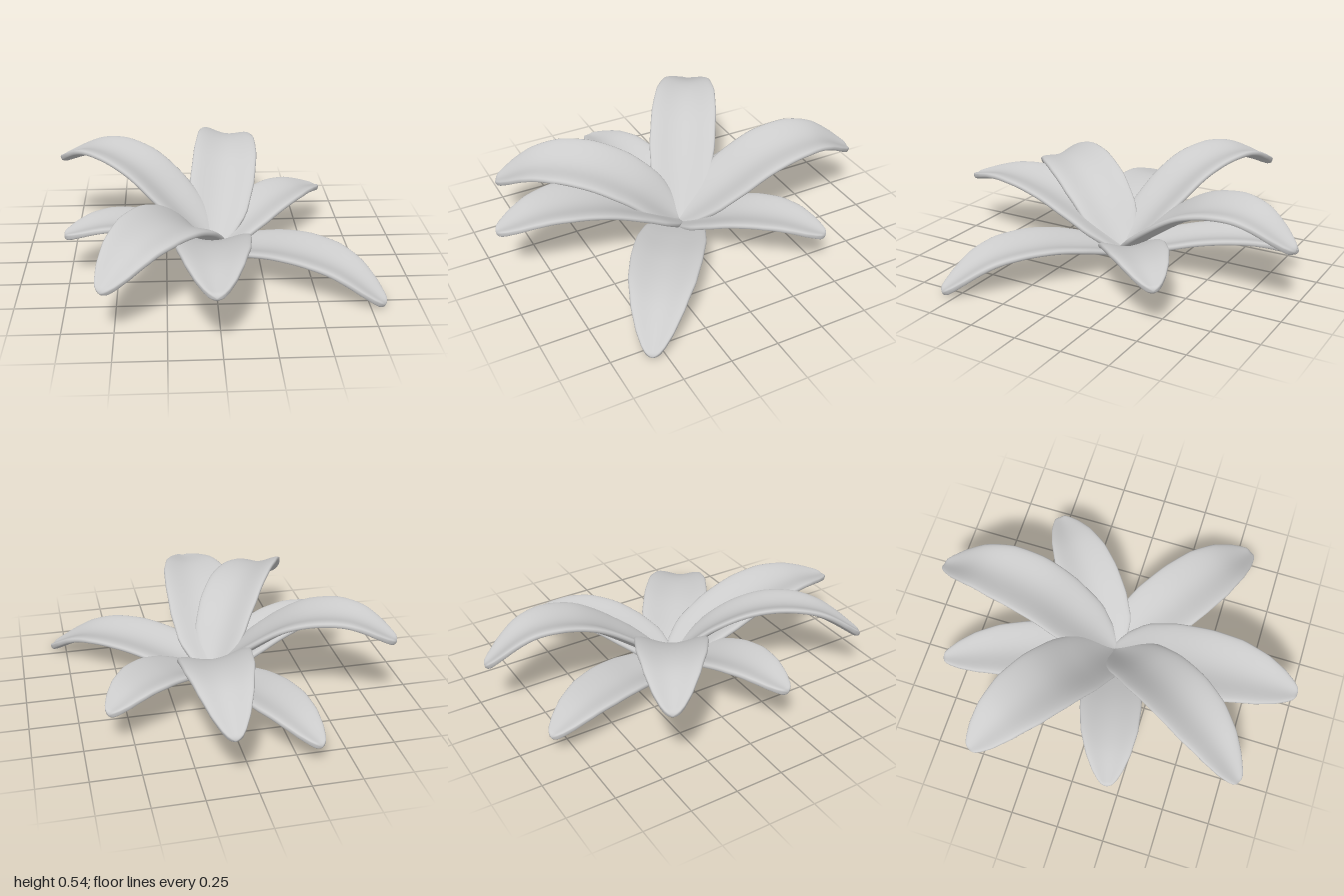
import * as THREE from 'three';

const material = new THREE.MeshStandardMaterial({ color: 0xcccccc, side: THREE.DoubleSide });

// Half width along a leaf, as [position, fraction of the widest half width]
const OUTLINE = [[0, 0.2], [0.06, 0.57], [0.16, 0.88], [0.32, 1.0], [0.5, 1.0], [0.66, 0.92],
  [0.8, 0.72], [0.9, 0.5], [0.96, 0.31], [0.985, 0.2], [0.996, 0.11], [1, 0.02]];

function outlineAt(t) {
  let i = 0;
  while (i < OUTLINE.length - 2 && t > OUTLINE[i + 1][0]) i++;
  const [a, wa] = OUTLINE[i], [b, wb] = OUTLINE[i + 1];
  return THREE.MathUtils.lerp(wa, wb, (t - a) / (b - a));
}

// Thick, cupped leaf that arches from the centre out to its tip
function leafGeometry({ tip, heights, width, bend = 0, roll = 0 }) {
  const RINGS = 44, SIDES = 40, THICK = 0.02, CUP = 0.44;
  const [tx, tz] = tip;
  const length = Math.hypot(tx, tz);
  const side = new THREE.Vector3(tz / length, 0, -tx / length);
  const spine = new THREE.CatmullRomCurve3(heights.map((y, i) => {
    const f = i / (heights.length - 1);
    return new THREE.Vector3(tx * f, y, tz * f).addScaledVector(side, bend * Math.sin(Math.PI * f));
  }));
  const positions = [], index = [];
  for (let r = 0; r <= RINGS; r++) {
    const t = Math.sin((r / RINGS) * Math.PI / 2);
    const p = spine.getPoint(t);
    const tangent = spine.getTangent(t);
    const normal = new THREE.Vector3().crossVectors(tangent, side).normalize();
    const w = width * outlineAt(t);
    // Full thickness almost to the end, then a rounded nose
    const nose = Math.max(0, (t - 0.975) / 0.025);
    const thick = THICK * Math.sqrt(1.01 - nose * nose);
    for (let s = 0; s < SIDES; s++) {
      const a = (s / SIDES) * Math.PI * 2;
      const u = Math.cos(a), v = Math.sin(a);
      // The cup levels out towards the rim
      const cup = CUP * w * (u * u - 0.5 * u ** 4) + roll * w * u;
      const lift = cup + thick * Math.sign(v) * Math.pow(Math.abs(v), 0.45);
      const q = p.clone().addScaledVector(side, u * w).addScaledVector(normal, lift);
      positions.push(q.x, q.y, q.z);
    }
  }
  for (let r = 0; r < RINGS; r++) {
    for (let s = 0; s < SIDES; s++) {
      const n = (s + 1) % SIDES;
      const a = r * SIDES + s, b = r * SIDES + n, c = a + SIDES, d = b + SIDES;
      index.push(a, b, c, b, d, c);
    }
  }
  // Close both ends
  for (let s = 1; s < SIDES - 1; s++) {
    const e = RINGS * SIDES;
    index.push(0, s + 1, s, e, e + s, e + s + 1);
  }
  const geometry = new THREE.BufferGeometry();
  geometry.setAttribute('position', new THREE.Float32BufferAttribute(positions, 3));
  geometry.setIndex(index);
  geometry.computeVertexNormals();
  return geometry;
}

// Heights are evenly spaced from the centre to the tip
const LEAVES = {
  upperFrontLeaf: { tip: [-0.03, 0.998], heights: [0.055, 0.205, 0.31, 0.345, 0.305], width: 0.19, bend: -0.01 },
  upperFrontRightLeaf: { tip: [-0.55, 0.83], heights: [0.055, 0.275, 0.38, 0.375, 0.25], width: 0.172, bend: 0.03, roll: -0.2 },
  upperBackRightLeaf: { tip: [-0.825, -0.492], heights: [0.055, 0.285, 0.45, 0.495, 0.41], width: 0.18 },
  upperBackLeaf: { tip: [0.115, -0.998], heights: [0.055, 0.25, 0.4, 0.428, 0.3], width: 0.178, bend: -0.038, roll: 0.1 },
  lowerFrontLeftLeaf: { tip: [0.82, 0.57], heights: [0.045, 0.118, 0.158, 0.135, 0.008], width: 0.18 },
  lowerBackLeftLeaf: { tip: [0.62, -0.513], heights: [0.045, 0.145, 0.217, 0.237, 0.195], width: 0.16, bend: -0.015 },
  lowerBackRightLeaf: { tip: [-0.335, -0.865], heights: [0.045, 0.105, 0.152, 0.158, 0.11], width: 0.155 },
  lowerRightLeaf: { tip: [-0.765, 0.2], heights: [0.045, 0.165, 0.245, 0.272, 0.24], width: 0.16 },
};

export function createModel() {
  const model = new THREE.Group();
  model.name = 'leafRosette';
  for (const [name, leaf] of Object.entries(LEAVES)) {
    const mesh = new THREE.Mesh(leafGeometry(leaf), material);
    mesh.name = name;
    model.add(mesh);
  }
  // Shallow rounded cup under the point where the leaves meet
  const base = new THREE.Mesh(new THREE.SphereGeometry(1, 28, 10, 0, Math.PI * 2, Math.PI / 2, Math.PI / 2), material);
  base.name = 'base';
  base.scale.set(0.085, 0.052, 0.065);
  base.position.y = 0.06;
  model.add(base);
  return model;
}
